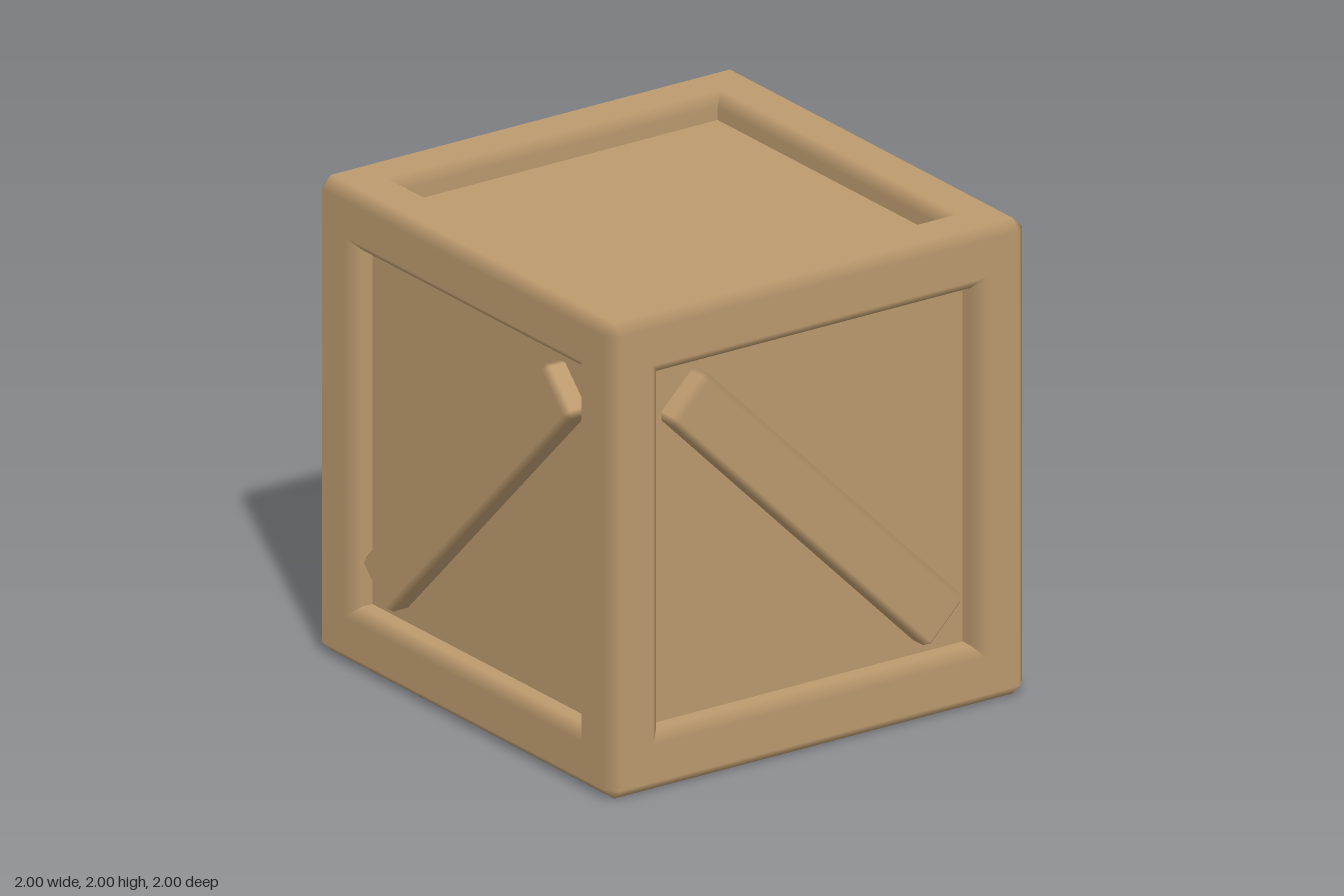
import * as THREE from 'three';

// Box with single-step chamfers; the flat faces' normals blend across each chamfer.
function chamferedBox(w, h, d, bevel) {
  const half = [w / 2, h / 2, d / 2];
  const points = [], normals = [], index = [];

  // One vertex per corner and axis, lying on the face that looks along that axis
  for (let axis = 0; axis < 3; axis++) {
    for (let corner = 0; corner < 8; corner++) {
      const sign = [0, 1, 2].map(i => (corner >> i & 1 ? 1 : -1));
      points.push(new THREE.Vector3(...sign.map((s, i) => s * (half[i] - (i === axis ? 0 : bevel)))));
      normals.push(...sign.map((s, i) => (i === axis ? s : 0)));
    }
  }

  // Adds a convex polygon, turned so that it faces outward
  const addPolygon = ids => {
    const [a, b, c] = ids.map(i => points[i]);
    const n = b.clone().sub(a).cross(c.clone().sub(a));
    const order = n.dot(a) > 0 ? ids : [...ids].reverse();
    for (let i = 1; i < order.length - 1; i++) index.push(order[0], order[i], order[i + 1]);
  };

  for (let a = 0; a < 3; a++) {
    const b = (a + 1) % 3, c = (a + 2) % 3;
    const A = 1 << a, B = 1 << b, C = 1 << c;
    // Two flat faces across axis a
    for (const s of [0, A]) addPolygon([s, s | B, s | B | C, s | C].map(k => a * 8 + k));
    // Four chamfers running along axis c
    for (const s of [0, A, B, A | B]) addPolygon([a * 8 + s, b * 8 + s, b * 8 + (s | C), a * 8 + (s | C)]);
  }
  // Small triangles closing the corners
  for (let k = 0; k < 8; k++) addPolygon([k, 8 + k, 16 + k]);

  const geometry = new THREE.BufferGeometry();
  geometry.setAttribute('position', new THREE.Float32BufferAttribute(points.flatMap(p => p.toArray()), 3));
  geometry.setAttribute('normal', new THREE.Float32BufferAttribute(normals, 3));
  geometry.setIndex(index);
  return geometry;
}

export function createModel() {
  const wood = new THREE.MeshStandardMaterial({ color: 0xbc9a6e });
  wood.name = 'wood';

  const crate = new THREE.Group();
  crate.name = 'crate';

  const add = (parent, name, geometry) => {
    const mesh = new THREE.Mesh(geometry, wood);
    mesh.name = name;
    parent.add(mesh);
    return mesh;
  };

  // Recessed panels: one box whose six sides show inside the frame
  add(crate, 'panels', new THREE.BoxGeometry(1.8, 1.8, 1.8)).position.y = 1;

  // Frame: a beam along each of the twelve edges
  const beamWidth = 0.248, offset = 1 - beamWidth / 2;
  const frame = new THREE.Group();
  frame.name = 'frame';
  crate.add(frame);
  ['beamAcross', 'beamUpright', 'beamFrontToBack'].forEach((name, axis) => {
    const size = [beamWidth, beamWidth, beamWidth];
    size[axis] = 2;
    const geometry = chamferedBox(...size, 0.047);
    for (const s of [-1, 1]) {
      for (const t of [-1, 1]) {
        const p = [0, 0, 0];
        p[(axis + 1) % 3] = s * offset;
        p[(axis + 2) % 3] = t * offset;
        add(frame, name, geometry).position.set(p[0], p[1] + 1, p[2]);
      }
    }
  });

  // Diagonal braces on the four upright sides; opposite braces run parallel
  const braceDepth = 0.2;
  const braceGeometry = chamferedBox(1.75, 0.25, braceDepth, 0.026);
  [['sideBraces', Math.PI / 2], ['frontAndBackBraces', 0]].forEach(([name, turn]) => {
    const pair = new THREE.Group();
    pair.name = name;
    pair.position.y = 1;
    pair.rotation.y = turn;
    for (const s of [-1, 1]) {
      const brace = add(pair, 'diagonalBrace', braceGeometry);
      brace.position.z = s * (0.998 - braceDepth / 2);
      brace.rotation.z = -Math.PI / 4;
    }
    crate.add(pair);
  });

  return crate;
}
